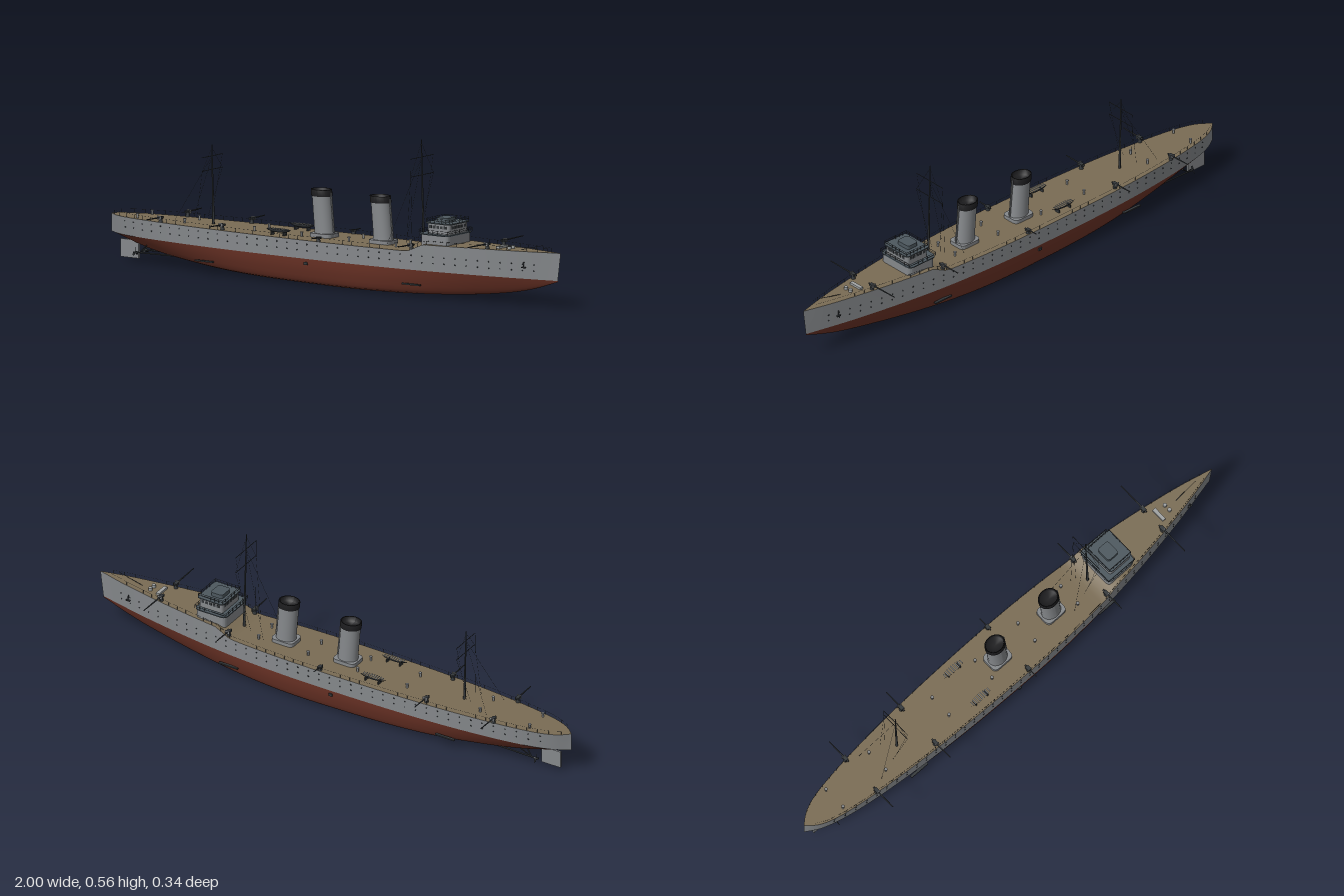
import * as THREE from 'three';
import { mergeGeometries } from 'three/addons/utils/BufferGeometryUtils.js';

const mat = (name, color, side = THREE.FrontSide) => {
  const m = new THREE.MeshStandardMaterial({ color, side });
  m.name = name;
  return m;
};
const V = (x, y, z) => new THREE.Vector3(x, y, z);
const clamp01 = (t) => THREE.MathUtils.clamp(t, 0, 1);

// Hull stations: x, deck half-width, waterline half-width, keel height, fullness
const stations = [
  [-1, 0, 0, 0.105, 0.2], [-0.975, 0.022, 0.016, 0.101, 0.2], [-0.95, 0.038, 0.03, 0.094, 0.2],
  [-0.9, 0.056, 0.048, 0.08, 0.25], [-0.8, 0.075, 0.07, 0.056, 0.4], [-0.6, 0.097, 0.095, 0.03, 0.7],
  [-0.4, 0.109, 0.109, 0.014, 0.9], [0, 0.117, 0.117, 0.004, 1], [0.2, 0.113, 0.113, 0.004, 1],
  [0.4, 0.1, 0.1, 0.009, 0.85], [0.6, 0.077, 0.075, 0.022, 0.6], [0.8, 0.045, 0.041, 0.048, 0.3],
  [0.9, 0.025, 0.021, 0.07, 0.15], [1, 0, 0, 0.101, 0],
];
const lines = new THREE.CubicInterpolant(stations.map((s) => s[0]), stations.flatMap((s) => s.slice(1)), 4);
const WL = 0.105;
const deckY = (x) => (x < 0.45 ? 0.172 + 0.028 * clamp01((x - 0.39) / 0.06) : 0.2 + (0.007 * (x - 0.45)) / 0.55);
const station = (x) => {
  const [deck, water, keel, full] = lines.evaluate(x);
  return { deck: Math.max(0, deck), water: Math.max(0, water), keel, full };
};
const rake = (x, y) => x - 0.013 * clamp01((x - 0.8) / 0.2) * (1 - clamp01((y - WL) / 0.1));

// Skin over cross-sections along x
function skin(section) {
  const pos = [], idx = [], n = 100;
  let cols = 0;
  for (let i = 0; i <= n; i++) {
    const x = -Math.cos((Math.PI * i) / n);
    const pts = section(x);
    cols = pts.length;
    for (const [y, z] of pts) pos.push(rake(x, y), y, z);
  }
  for (let i = 0; i < n; i++) for (let j = 0; j < cols - 1; j++) {
    const a = i * cols + j, b = a + cols;
    idx.push(a, a + 1, b + 1, a, b + 1, b);
  }
  const g = new THREE.BufferGeometry();
  g.setAttribute('position', new THREE.Float32BufferAttribute(pos, 3));
  g.setIndex(idx);
  g.computeVertexNormals();
  return g;
}

// Midship curve below the waterline: depth fraction, width fraction
const bilge = [[0, 1], [0.22, 0.975], [0.45, 0.92], [0.65, 0.86], [0.8, 0.81], [0.9, 0.75], [0.97, 0.58], [0.99, 0.4], [1, 0]];
function underwater(x) {
  const s = station(x);
  const half = bilge.map(([d, w]) => [
    WL - d * (WL - s.keel),
    s.water * THREE.MathUtils.lerp(Math.pow(1 - d, 0.75), w, s.full),
  ]);
  return [...half, ...half.slice(0, -1).reverse().map(([y, z]) => [y, -z])];
}
const side = (sign) => (x) => {
  const s = station(x), pts = [];
  for (let k = 0; k <= 3; k++) pts.push([THREE.MathUtils.lerp(deckY(x), WL, k / 3), sign * THREE.MathUtils.lerp(s.deck, s.water, k / 3)]);
  return sign > 0 ? pts : pts.reverse();
};

// Thin rod between two points
function rod(a, b, r, r2 = r, sides = 6) {
  const d = b.clone().sub(a);
  const g = new THREE.CylinderGeometry(r2, r, d.length(), sides);
  g.applyQuaternion(new THREE.Quaternion().setFromUnitVectors(V(0, 1, 0), d.normalize()));
  return g.translate((a.x + b.x) / 2, (a.y + b.y) / 2, (a.z + b.z) / 2);
}
const box = (w, h, d, x, y, z) => new THREE.BoxGeometry(w, h, d).translate(x, y, z);
const cyl = (r, h, x, y, z, r2 = r, n = 12) => new THREE.CylinderGeometry(r2, r, h, n).translate(x, y + h / 2, z);

// Upright block with rounded corners
function slab(x, w, d, y, h, r) {
  const s = new THREE.Shape(), a = w / 2, b = d / 2;
  s.moveTo(-a + r, -b).lineTo(a - r, -b).quadraticCurveTo(a, -b, a, -b + r).lineTo(a, b - r)
    .quadraticCurveTo(a, b, a - r, b).lineTo(-a + r, b).quadraticCurveTo(-a, b, -a, b - r)
    .lineTo(-a, -b + r).quadraticCurveTo(-a, -b, -a + r, -b);
  return new THREE.ExtrudeGeometry(s, { depth: h, bevelEnabled: false, curveSegments: 5 }).rotateX(-Math.PI / 2).translate(x, y, 0);
}

export function createModel() {
  const ship = new THREE.Group();
  ship.name = 'warship';
  const grey = mat('hull grey', 0x85888b), red = mat('antifouling red', 0x6e3427), tan = mat('deck planking', 0x7a6c54);
  const black = mat('funnel black', 0x1d1d1f), dark = mat('dark metal', 0x34383b), slate = mat('slate roof', 0x4d585f);
  const pale = mat('pale grey', 0xa0a3a3);
  const add = (name, geo, m) => {
    const mesh = new THREE.Mesh(Array.isArray(geo) ? mergeGeometries(geo) : geo, m);
    mesh.name = name;
    ship.add(mesh);
  };

  // Hull
  add('lowerHull', skin(underwater), red);
  add('leftTopside', skin(side(1)), grey);
  add('rightTopside', skin(side(-1)), grey);
  add('deck', skin((x) => [[deckY(x), -station(x).deck], [deckY(x), station(x).deck]]), tan);

  // Portholes, rails and deck-edge posts
  const ports = [], rails = [];
  for (const s of [-1, 1]) {
    for (let x = -0.9; x < 0.93; x += 0.045) for (const y of [0.135, 0.158]) {
      const st = station(x), z = THREE.MathUtils.lerp(st.water, st.deck, (y - WL) / (deckY(x) - WL));
      ports.push(new THREE.CylinderGeometry(0.0028, 0.0028, 0.003, 8).rotateX(Math.PI / 2).translate(rake(x, y), y, s * z));
    }
    let last = null;
    for (let x = -0.97; x < 0.97; x += 0.04) {
      const foot = V(x, deckY(x), s * (station(x).deck - 0.002)), top = foot.clone().setY(foot.y + 0.014);
      rails.push(rod(foot, top, 0.0007, 0.0007, 4));
      if (last) rails.push(rod(last, top, 0.0004, 0.0004, 3));
      last = top;
    }
  }
  add('portholes', ports, dark);
  add('deckRails', rails, dark);

  // Bridge
  add('bridgeLower', slab(0.488, 0.125, 0.15, 0.19, 0.045, 0.02), grey);
  add('bridgePlatform', slab(0.487, 0.133, 0.16, 0.234, 0.004, 0.022), slate);
  add('bridgeHouse', slab(0.496, 0.1, 0.118, 0.238, 0.036, 0.012), grey);
  add('bridgeRoof', slab(0.496, 0.11, 0.128, 0.274, 0.004, 0.014), slate);
  add('conningTop', slab(0.49, 0.05, 0.06, 0.278, 0.015, 0.012), slate);
  const panes = [];
  for (let k = -2; k <= 2; k++) {
    for (const e of [-1, 1]) {
      panes.push(box(0.002, 0.01, 0.013, 0.496 + e * 0.0502, 0.263, k * 0.019));
      panes.push(box(0.011, 0.01, 0.002, 0.496 + k * 0.016, 0.263, e * 0.0592));
    }
  }
  add('bridgeWindows', panes, dark);
  const bridgeRails = [];
  for (const [y, hx, hz, cx] of [[0.238, 0.064, 0.077, 0.487], [0.278, 0.052, 0.058, 0.496]]) {
    for (const e of [-1, 1]) {
      for (const h of [0.007, 0.014]) {
        bridgeRails.push(box(hx * 2, 0.001, 0.001, cx, y + h, e * hz), box(0.001, 0.001, hz * 2, cx + e * hx, y + h, 0));
      }
      for (let k = -3; k <= 3; k++) {
        bridgeRails.push(box(0.001, 0.014, 0.001, cx + (k / 3) * hx, y + 0.007, e * hz));
        bridgeRails.push(box(0.001, 0.014, 0.001, cx + e * hx, y + 0.007, (k / 3) * hz));
      }
    }
  }
  add('bridgeRails', bridgeRails, dark);

  // Raked oval funnels, open at the top
  const lean = (g, x) => g.scale(1.22, 1, 1).applyMatrix4(new THREE.Matrix4().makeShear(0, 0, -0.085, 0, 0, 0)).translate(x, 0.17, 0);
  const lathe = (pts) => new THREE.LatheGeometry(pts.map(([r, y]) => new THREE.Vector2(r, y)), 28);
  for (const x of [-0.05, 0.212]) {
    const shear = (g) => {
      const p = g.attributes.position;
      for (let i = 0; i < p.count; i++) p.setXYZ(i, p.getX(i) * 1.22 - 0.085 * p.getY(i) + x, p.getY(i) + 0.17, p.getZ(i));
      g.computeVertexNormals();
      return g;
    };
    add('funnelBase', slab(x - 0.001, 0.092, 0.074, 0.168, 0.018, 0.02), grey);
    add('funnel', shear(lathe([[0.033, 0], [0.031, 0.03], [0.031, 0.151]])), grey);
    add('funnelCap', shear(lathe([[0.031, 0.15], [0.0335, 0.15], [0.0335, 0.174], [0.029, 0.174], [0.028, 0.155], [0, 0.155]])), black);
    add('steamPipe', rod(V(x + 0.043, 0.175, 0), V(x + 0.028, 0.335, 0), 0.003), grey);
  }

  // Masts, yards and rigging
  const mast = (name, x, top, yards, aft) => {
    const at = (y) => x - 0.025 * (y - 0.17);
    const spars = [rod(V(x, 0.17, 0), V(at(top), top, 0), 0.0048, 0.0016, 8)], wires = [];
    for (const [y, w] of yards) spars.push(rod(V(at(y), y, -w), V(at(y), y, w), 0.0012));
    for (const s of [-1, 1]) {
      const [[y0, w0], [y1, w1]] = yards;
      wires.push([V(at(top), top - 0.01, 0), V(at(y1), y1, s * w1)], [V(at(y0), y0, s * w0), V(x - 0.03, 0.19, s * 0.03)]);
      wires.push([V(at(y1), y1, s * w1), V(x - 0.05, 0.19, s * 0.035)], [V(at(y0), y0, 0), V(x - aft, 0.18, s * 0.06)]);
    }
    add(name, spars, dark);
    add(name + 'Rigging', wires.map(([a, b]) => rod(a, b, 0.0005, 0.0005, 3)), dark);
  };
  mast('foreMast', 0.39, 0.565, [[0.502, 0.07], [0.437, 0.07]], 0.12);
  mast('mainMast', -0.545, 0.46, [[0.42, 0.063], [0.371, 0.062]], 0.13);

  // Broadside guns on pedestals
  for (const [x, z, reach] of [[-0.72, 0.083, 0.17], [-0.44, 0.09, 0.17], [0, 0.108, 0.15], [0.4, 0.088, 0.17], [0.71, 0.05, 0.17]]) {
    const y = deckY(x), h = x === 0 ? 0.013 : 0.018;
    for (const s of [-1, 1]) {
      add('gun', [
        cyl(0.008, h, x, y, s * z, 0.005),
        box(0.014, 0.008, 0.018, x, y + h, s * z),
        rod(V(x, y + h, s * (z - 0.016)), V(x, y + h + 0.002, s * reach), 0.0032, 0.0018, 8),
      ], dark);
      if (x !== 0) add('gunShield', box(0.018, 0.014, 0.002, x, y + h, s * (z + 0.01)), grey);
    }
  }

  // Ship's boats with thwarts
  for (const s of [-1, 1]) {
    const hull = new THREE.SphereGeometry(1, 20, 8, 0, Math.PI * 2, Math.PI / 2, Math.PI / 2).scale(0.054, 0.013, 0.014);
    add('boat', hull.translate(-0.203, 0.195, s * 0.073), dark);
    const seats = [];
    for (let k = -4; k <= 4; k++) seats.push(box(0.004, 0.002, 0.026 * Math.sqrt(1 - (k / 5) ** 2), -0.203 + k * 0.01, 0.1945, s * 0.073));
    add('boatThwarts', seats, pale);
    add('boatCradles', [-0.23, -0.175].map((x) => box(0.004, 0.014, 0.02, x, 0.178, s * 0.073)), dark);
  }

  // Deck fittings
  const vents = [];
  for (const x of [-0.85, -0.64, -0.33, -0.12, 0.09, 0.3]) for (const s of [-1, 1]) vents.push(cyl(0.004, 0.016, x, 0.171, s * 0.045), cyl(0.006, 0.003, x, 0.186, s * 0.045));
  add('ventilators', vents, grey);
  add('windlass', [box(0.014, 0.01, 0.055, 0.74, 0.207, 0), cyl(0.007, 0.012, 0.78, 0.203, 0.012), cyl(0.007, 0.012, 0.78, 0.203, -0.012)], pale);
  add('bowDavit', rod(V(0.82, 0.204, 0), V(0.92, 0.228, 0), 0.001), dark);
  const anchors = [], scoops = [];
  for (const s of [-1, 1]) {
    const z = s * 0.034;
    anchors.push(rod(V(0.86, 0.167, z), V(0.86, 0.147, z * 1.06), 0.002), box(0.016, 0.004, 0.007, 0.86, 0.147, z * 1.06));
    scoops.push(box(0.014, 0.01, 0.012, -0.05, 0.088, s * 0.114));
    for (const x of [-0.52, 0.4]) scoops.push(box(0.08, 0.005, 0.01, x, 0.05, s * station(x).water * 0.9));
  }
  add('anchors', anchors, dark);
  add('hullInlets', scoops, dark);

  // Rudder, shafts and propellers
  add('rudder', box(0.08, 0.066, 0.008, -0.915, 0.049, 0), grey);
  add('rudderStock', rod(V(-0.92, 0.08, 0), V(-0.92, 0.11, 0), 0.004), dark);
  for (const s of [-1, 1]) {
    const z = s * 0.032, parts = [
      rod(V(-0.87, 0.043, z), V(-0.66, 0.046, z), 0.0028),
      rod(V(-0.85, 0.043, z), V(-0.81, 0.075, s * 0.012), 0.0022),
      rod(V(-0.85, 0.043, z), V(-0.81, 0.075, s * 0.045), 0.0022),
      rod(V(-0.878, 0.043, z), V(-0.862, 0.043, z), 0.002, 0.005, 10),
    ];
    for (let k = 0; k < 3; k++) {
      parts.push(new THREE.SphereGeometry(1, 8, 6).scale(0.0015, 0.008, 0.0045).rotateY(0.5).translate(0, 0.01, 0).rotateX((k * Math.PI * 2) / 3).translate(-0.87, 0.043, z));
    }
    add('propellerShaft', parts, dark);
  }
  return ship;
}
